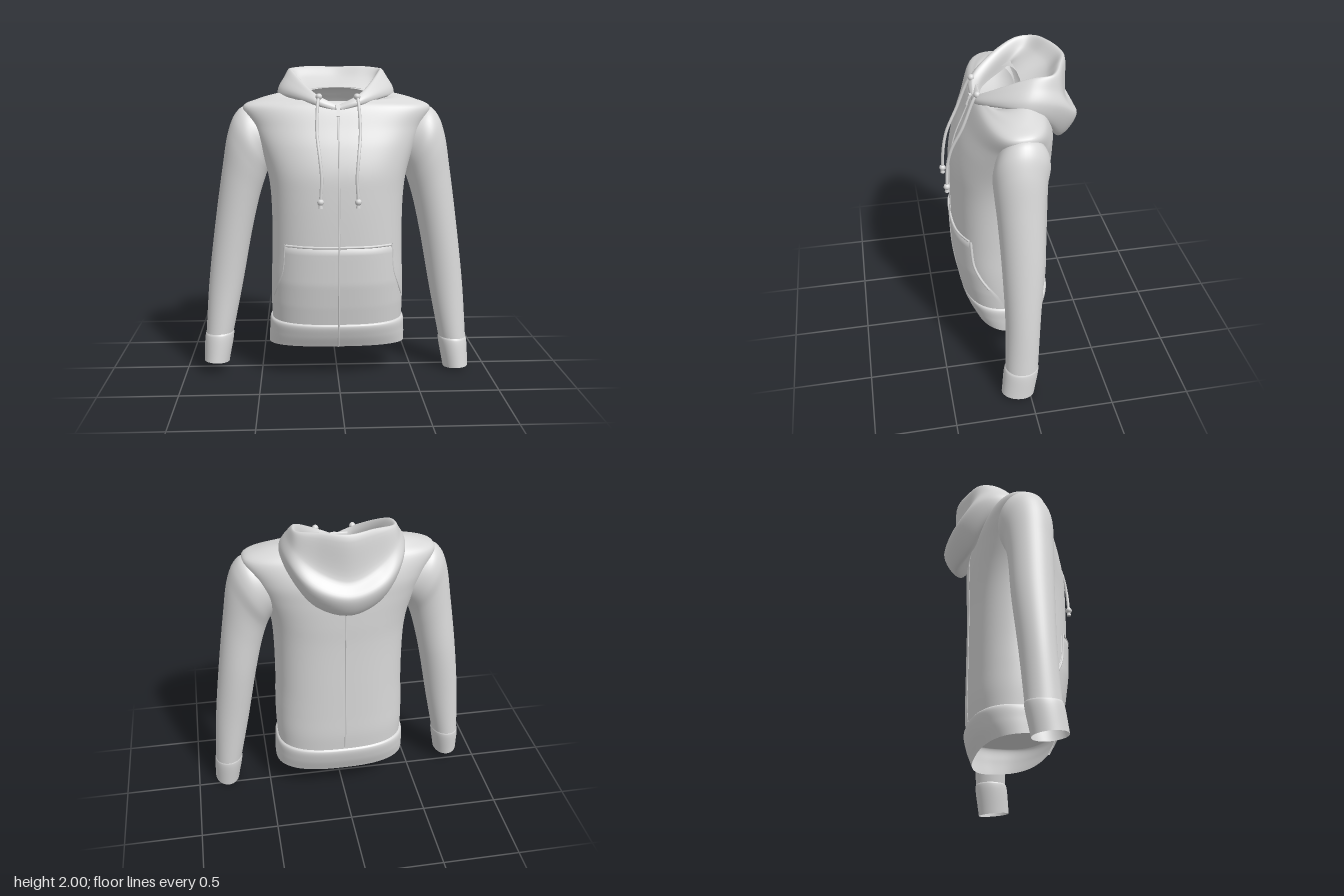
import * as THREE from 'three';
import { mergeVertices } from 'three/addons/utils/BufferGeometryUtils.js';

const fabric = new THREE.MeshStandardMaterial({ color: 0xd8d8d8, side: THREE.DoubleSide });
fabric.name = 'greyFabric';
const V = (x, y, z) => new THREE.Vector3(x, y, z);
const spline = (pts, n) => new THREE.CatmullRomCurve3(pts).getPoints(n);

// Surface through rows of equal length
function surface(rows) {
  const n = rows[0].length, idx = [];
  for (let i = 0; i < rows.length - 1; i++) for (let j = 0; j < n - 1; j++) {
    const a = i * n + j, b = a + n;
    idx.push(a, a + 1, b, b, a + 1, b + 1);
  }
  const raw = new THREE.BufferGeometry().setFromPoints(rows.flat()).setIndex(idx);
  const geo = mergeVertices(raw, 1e-5);
  geo.computeVertexNormals();
  return geo;
}

// Smooth skin over a few sections, with n steps along them
function loft(sections, n) {
  const cols = sections[0].map((_, j) => spline(sections.map(s => s[j]), n));
  return surface(cols[0].map((_, i) => cols.map(c => c[i])));
}

// Horizontal rounded section: height, half width, front z, back z, front tilt
function ring([y, w, zf, zb, tilt = 0]) {
  const n = 96, p = y > 1.75 ? 2.2 : 2.6, pts = [];
  const pw = v => Math.sign(v) * Math.abs(v) ** (2 / p);
  for (let i = 0; i <= n; i++) {
    const a = (i % n) / n * Math.PI * 2, s = pw(Math.sin(a));
    pts.push(V(w * pw(Math.cos(a)), y + tilt * s, (zf + zb) / 2 + (zf - zb) / 2 * s));
  }
  return pts;
}

const BODY = [
  [0.37, 0.425, 0.315, -0.24],
  [0.5, 0.43, 0.34, -0.25],
  [0.65, 0.428, 0.362, -0.25],
  [0.85, 0.42, 0.37, -0.25],
  [1.2, 0.425, 0.37, -0.25],
  [1.35, 0.447, 0.36, -0.255],
  [1.5, 0.495, 0.32, -0.255],
  [1.62, 0.545, 0.27, -0.245],
  [1.745, 0.598, 0.215, -0.195],
  [1.792, 0.505, 0.185, -0.16, -0.012],
  [1.818, 0.37, 0.17, -0.12, -0.035],
  [1.79, 0.24, 0.16, -0.075, -0.07],
];

// Front (side 1) or back (side -1) surface depth of the body at (x, y)
function bodyZ(x, y, side = 1) {
  const i = BODY.findIndex(r => r[0] > y), a = BODY[i - 1], b = BODY[i];
  const t = (y - a[0]) / (b[0] - a[0]);
  const [w, zf, zb] = [1, 2, 3].map(k => a[k] + (b[k] - a[k]) * t);
  const d = Math.max(0, 1 - Math.abs(x / w) ** 2.6) ** (1 / 2.6);
  return (zf + zb) / 2 + side * (zf - zb) / 2 * d;
}

// Sleeve sections: inner x, y, outer x, y, front z, back z
const SLEEVE = [
  [0.34, 1.42, 0.46, 1.72, 0.12, -0.13],
  [0.42, 1.355, 0.595, 1.745, 0.165, -0.155],
  [0.445, 1.32, 0.65, 1.695, 0.182, -0.155],
  [0.47, 1.25, 0.695, 1.58, 0.18, -0.13],
  [0.5, 1.15, 0.735, 1.35, 0.168, -0.115],
  [0.55, 0.93, 0.79, 0.98, 0.153, -0.107],
  [0.62, 0.55, 0.84, 0.57, 0.142, -0.078],
  [0.687, 0.215, 0.868, 0.205, 0.15, -0.058],
];
const CUFF = [
  [0.69, 0.22, 0.866, 0.21, 0.15, -0.055],
  [0.685, 0.205, 0.873, 0.195, 0.158, -0.06],
  [0.718, 0.005, 0.882, 0.016, 0.18, -0.03],
];

// Leaning oval sleeve section; reach scales the length of the arm
const sleeveRing = (side, reach) => ([ax, ay, bx, by, zf, zb]) => {
  const pts = [];
  for (let i = 0; i <= 48; i++) {
    const a = (i % 48) / 24 * Math.PI, c = (1 + Math.cos(a)) / 2, s = Math.sin(a);
    const y = ay + (by - ay) * c + (ay < 0.1 ? 0.012 * s : 0);
    pts.push(V(side * (ax + (bx - ax) * c), 1.75 - (1.75 - y) * reach,
      (zf + zb) / 2 + (zf - zb) / 2 * s));
  }
  return pts;
};

// Hood rails from the front centre round the left side to the back centre
const HOOD = {
  neck: [[0, 1.72, 0.17], [0.12, 1.74, 0.13], [0.23, 1.8, -0.03], [0.2, 1.845, -0.065], [0.12, 1.86, -0.07], [0, 1.865, -0.07]],
  lining: [[0, 1.745, 0.19], [0.11, 1.795, 0.15], [0.245, 1.91, -0.06], [0.25, 1.92, -0.165], [0.14, 1.925, -0.21], [0, 1.92, -0.24]],
  rim: [[0, 1.76, 0.205], [0.135, 1.827, 0.175], [0.288, 1.972, -0.09], [0.29, 1.985, -0.22], [0.155, 1.998, -0.295], [0, 1.992, -0.34]],
  fold: [[0, 1.752, 0.216], [0.15, 1.812, 0.193], [0.335, 1.92, -0.075], [0.312, 1.89, -0.245], [0.175, 1.775, -0.325], [0, 1.715, -0.365]],
  roll: [[0, 1.742, 0.222], [0.155, 1.79, 0.205], [0.368, 1.855, -0.045], [0.342, 1.8, -0.255], [0.21, 1.68, -0.385], [0, 1.62, -0.428]],
  hem: [[0, 1.725, 0.221], [0.148, 1.765, 0.205], [0.365, 1.805, -0.03], [0.32, 1.68, -0.195], [0.19, 1.525, -0.285], [0, 1.478, -0.345]],
};

export function createModel() {
  const model = new THREE.Group();
  const add = (name, geo, parent = model) => {
    const m = new THREE.Mesh(geo, fabric);
    m.name = name;
    parent.add(m);
    return m;
  };
  const tube = (name, pts, r, parent) =>
    add(name, new THREE.TubeGeometry(new THREE.CatmullRomCurve3(pts), 40, r, 8), parent);

  // Body, its closed floor and the ribbed waistband
  add('body', loft(BODY.map(ring), 77));
  const floorEdge = ring(BODY[0]);
  add('bodyFloor', surface([floorEdge, floorEdge.map(() => V(0, 0.37, 0.04))]));
  add('waistband', loft([
    [0.385, 0.42, 0.31, -0.238],
    [0.37, 0.438, 0.327, -0.253],
    [0.29, 0.445, 0.308, -0.237, 0.008],
    [0.2, 0.447, 0.27, -0.195, 0.02],
  ].map(ring), 24));

  // Sleeves and cuffs, the right one a little shorter
  for (const [side, reach, label] of [[1, 1, 'left'], [-1, 0.965, 'right']]) {
    add(label + 'Sleeve', loft(SLEEVE.map(sleeveRing(side, reach)), 63));
    add(label + 'Cuff', loft(CUFF.map(sleeveRing(side, reach)), 16));
  }

  // Hood lying on the back: mirrored rails, with the hem tucked under
  const rails = Object.values(HOOD).map(r => {
    const left = r.map(p => V(...p));
    const right = left.slice(0, -1).reverse().map(p => V(-p.x, p.y, p.z));
    return spline([...left, ...right], 100);
  });
  rails.push(rails[5].map((p, i) => p.clone().lerp(rails[0][i], 0.4)));
  add('hood', loft(rails, 48));

  // Front pocket standing slightly off the body, curved in at the hand openings
  const outline = new THREE.SplineCurve([[0.385, 0.425], [0.48, 0.424], [0.55, 0.413], [0.64, 0.383], [0.74, 0.352], [0.9, 0.34]]
    .map(p => new THREE.Vector2(...p))).getPoints(25);
  add('frontPocket', surface(outline.map(({ x: y, y: w }, i) => {
    const row = [];
    for (let j = -20; j <= 20; j++) {
      const x = Math.sin(j / 20 * Math.PI / 2) * w;
      const border = Math.abs(j) === 20 || i === 25;
      row.push(V(x, y, bodyZ(x, y) + (border ? -0.01 : 0.012)));
    }
    return row;
  })));

  // Stitched edges of the pocket
  for (const s of [1, -1]) tube('pocketEdge', outline.slice(10).map(({ x: y, y: w }) =>
    V(s * w * 0.985, y, bodyZ(w * 0.985, y) + 0.005)), 0.008);
  tube('pocketTopEdge', [-0.33, -0.2, 0, 0.2, 0.33].map(x => V(x, 0.895, bodyZ(x, 0.895) + 0.007)), 0.008);

  // Zip down the front and seam down the back
  const zip = [V(0, 0.22, 0.272), V(0, 0.3, 0.312)], seam = [];
  for (let i = 4; i <= 17; i++) zip.push(V(0, i / 10, bodyZ(0, i / 10) + (i < 10 ? 0.011 : 0.002)));
  for (let i = 4; i <= 16; i++) seam.push(V(0, i / 10, bodyZ(0, i / 10, -1)));
  tube('zip', zip, 0.006);
  tube('backSeam', seam, 0.005);

  // Zip pull
  const pull = new THREE.Group();
  pull.name = 'zipPull';
  pull.position.set(0, 1.72, 0.24);
  pull.rotation.x = -0.4;
  add('pullTab', new THREE.BoxGeometry(0.022, 0.055, 0.01), pull);
  add('pullSlider', new THREE.BoxGeometry(0.03, 0.022, 0.018), pull).position.y = 0.032;
  model.add(pull);

  // Drawstrings with knots at the eyelets and tips
  for (const s of [1, -1]) {
    const cord = new THREE.Group();
    cord.name = s > 0 ? 'leftDrawstring' : 'rightDrawstring';
    const path = [V(s * 0.118, 1.812, 0.198), V(s * 0.125, 1.78, 0.222), V(s * 0.133, 1.6, 0.295),
      V(s * 0.118, 1.45, 0.365), V(s * 0.108, 1.33, 0.392), V(s * 0.115, 1.185, 0.402)];
    tube('cord', path, 0.01, cord);
    for (const end of [path[0], path[5]])
      add('knot', new THREE.SphereGeometry(0.021, 12, 8), cord).position.copy(end);
    add('tip', new THREE.CylinderGeometry(0.01, 0.015, 0.03, 10), cord).position.set(s * 0.115, 1.163, 0.402);
    model.add(cord);
  }
  return model;
}
